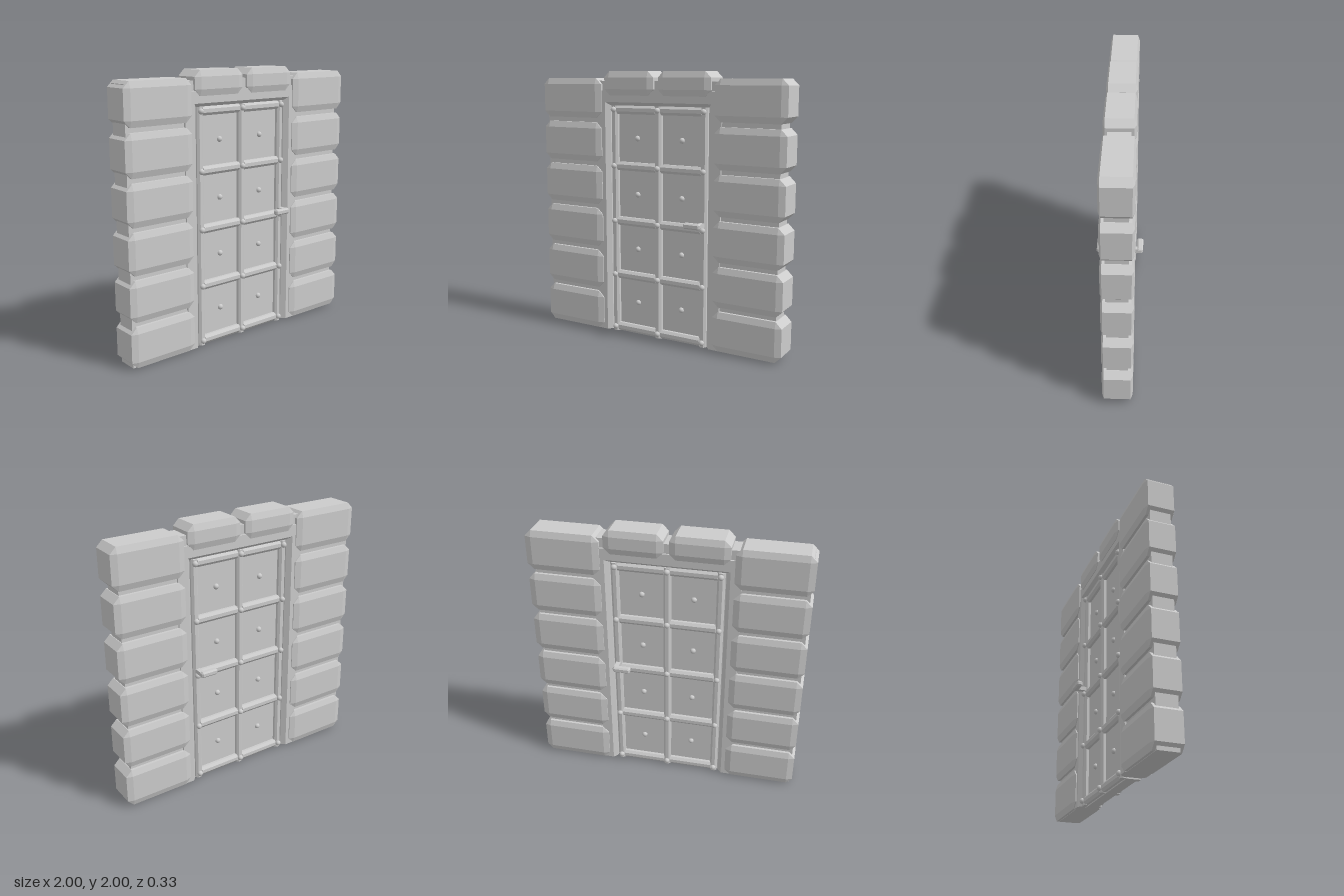
import * as THREE from 'three';
import { ConvexGeometry } from 'three/addons/geometries/ConvexGeometry.js';

const material = new THREE.MeshStandardMaterial({ color: 0xcccccc, flatShading: true });
const smooth = new THREE.MeshStandardMaterial({ color: 0xcccccc });

export function createModel() {
  const group = new THREE.Group();
  group.name = 'stoneDoorway';

  const add = (name, geometry, x = 0, y = 0, z = 0, mat = material) => {
    const mesh = new THREE.Mesh(geometry, mat);
    mesh.name = name;
    mesh.position.set(x, y, z);
    group.add(mesh);
    return mesh;
  };

  // Stone with every edge cut: c in x and y, d in z
  const stone = (w, h, t, c, d) => {
    const pts = [];
    for (const sx of [-1, 1]) for (const sy of [-1, 1]) for (const sz of [-1, 1]) {
      const x = w / 2, y = h / 2, z = t / 2;
      pts.push(
        new THREE.Vector3(sx * x, sy * (y - c), sz * (z - d)),
        new THREE.Vector3(sx * (x - c), sy * y, sz * (z - d)),
        new THREE.Vector3(sx * (x - c), sy * (y - c), sz * z));
    }
    return new ConvexGeometry(pts);
  };

  // Side stones, six courses on each side
  const sideStone = stone(0.53, 0.295, 0.22, 0.045, 0.015);
  for (const s of [-1, 1]) for (let i = 0; i < 6; i++) {
    add('sideStone', sideStone, s * 0.735, 0.16 + i * 0.3285, 0);
  }

  // Lintel stones
  const lintelStone = stone(0.42, 0.175, 0.215, 0.045, 0.015);
  for (const s of [-1, 1]) add('lintelStone', lintelStone, s * 0.23, 1.9125, 0);

  // Wall core behind the stones, open for the door
  const wall = new THREE.Shape([
    [-0.98, 0.01], [-0.46, 0.01], [-0.46, 1.8], [0.46, 1.8], [0.46, 0.01],
    [0.95, 0.01], [0.95, 1.93], [-0.98, 1.93],
  ].map(p => new THREE.Vector2(...p)));
  add('wallCore', new THREE.ExtrudeGeometry(wall, { depth: 0.15, bevelEnabled: false }), 0, 0, -0.075);

  add('doorFrame', frameGeometry());

  // Door leaf
  add('doorPanel', new THREE.BoxGeometry(0.82, 1.755, 0.07), 0, 0.8775, 0);

  // Raised bars with sloped sides on both faces of the door
  const bar = (length, half, flat) => {
    const s = new THREE.Shape([
      [-half, -0.055], [-flat, -0.07], [flat, -0.07], [half, -0.055],
      [half, 0.055], [flat, 0.07], [-flat, 0.07], [-half, 0.055],
    ].map(p => new THREE.Vector2(...p)));
    const g = new THREE.ExtrudeGeometry(s, { depth: length, bevelEnabled: false });
    return g.translate(0, 0, -length / 2).rotateX(Math.PI / 2);
  };
  const columns = [-0.375, 0, 0.375];
  const rows = [0.04, 0.46, 0.88, 1.3, 1.72];
  const upright = bar(1.745, 0.027, 0.012);
  const crossbar = bar(0.33, 0.032, 0.013).rotateZ(Math.PI / 2);
  for (const x of columns) add('uprightBar', upright, x, 0.8775, 0);
  for (const y of rows) for (const s of [-1, 1]) add('crossBar', crossbar, s * 0.1875, y, 0);

  // Rivets at the bar crossings and panel centres
  const rivet = new THREE.SphereGeometry(0.021, 12, 8);
  for (const s of [-1, 1]) {
    for (const x of columns) for (const y of rows) add('barRivet', rivet, x, y, s * 0.072, smooth);
    for (const x of [-0.1875, 0.1875]) for (let i = 0; i < 4; i++) {
      add('panelRivet', rivet, x, 0.25 + i * 0.42, s * 0.035, smooth);
    }
  }

  // Lever handles on both faces
  const lever = stone(0.13, 0.042, 0.045, 0.01, 0.01);
  const stem = new THREE.BoxGeometry(0.035, 0.03, 0.1);
  for (const s of [-1, 1]) {
    add('handleLever', lever, 0.327, 0.92, s * 0.142);
    add('handleStem', stem, 0.372, 0.92, s * 0.085);
  }
  return group;
}

// Door frame: a sloped cross-section carried up, over and down with mitred corners
function frameGeometry() {
  // half width, top height, depth
  const section = [
    [0.52, 1.86, 0.088], [0.44, 1.775, 0.088], [0.41, 1.75, 0.055],
    [0.41, 1.75, -0.055], [0.44, 1.775, -0.088], [0.52, 1.86, -0.088],
  ];
  const n = section.length;
  const positions = [];
  const index = [];
  for (let j = 0; j < 4; j++) for (const [w, top, z] of section) {
    positions.push(j < 2 ? -w : w, j === 0 || j === 3 ? 0.01 : top, z);
  }
  for (let j = 0; j < 3; j++) for (let i = 0; i < n; i++) {
    const a = j * n + i, b = j * n + (i + 1) % n;
    index.push(a, b, a + n, b, b + n, a + n);
  }
  // Feet
  for (let i = 1; i < n - 1; i++) {
    index.push(0, i + 1, i, 3 * n, 3 * n + i, 3 * n + i + 1);
  }
  const g = new THREE.BufferGeometry();
  g.setAttribute('position', new THREE.Float32BufferAttribute(positions, 3));
  g.setIndex(index);
  const flat = g.toNonIndexed();
  flat.computeVertexNormals();
  return flat;
}
